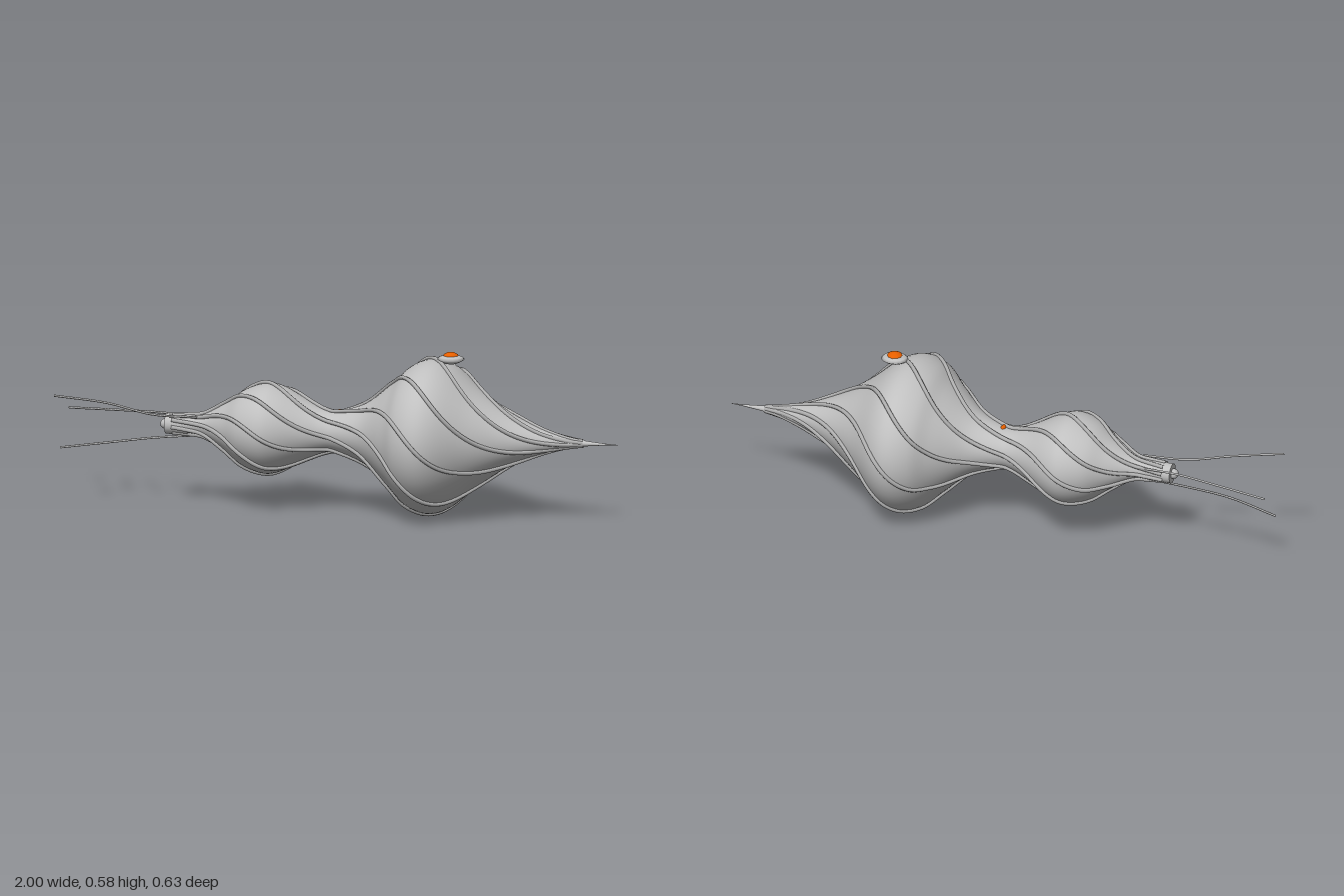
import * as THREE from 'three';

const AXIS_Y = 0.28;   // height of the long axis
const FLAT = 0.88;     // vertical squash of the body
const TWIST = 3.93;    // rib twist, radians per unit of length

export function createModel() {
  const model = new THREE.Group();
  const material = (name, color) => {
    const m = new THREE.MeshStandardMaterial({ color });
    m.name = name;
    return m;
  };
  const grey = material('hull grey', 0xc0c0c0);
  const ribGrey = material('rib grey', 0xb0b0b0);
  const orange = material('lamp orange', 0xff6a00);

  const add = (name, geometry, mat, x = 0, y = 0, z = 0) => {
    const mesh = new THREE.Mesh(geometry, mat);
    mesh.name = name;
    mesh.position.set(x, y, z);
    model.add(mesh);
    return mesh;
  };

  // Body profile: radius, position along x
  const profile = new THREE.SplineCurve([
    [0.034, -0.6], [0.036, -0.54], [0.046, -0.48], [0.1, -0.4], [0.152, -0.335],
    [0.179, -0.26], [0.165, -0.2], [0.112, -0.11], [0.085, -0.05], [0.083, 0],
    [0.122, 0.1], [0.215, 0.2], [0.278, 0.26], [0.306, 0.33], [0.282, 0.4],
    [0.19, 0.5], [0.113, 0.6], [0.06, 0.7], [0.03, 0.79], [0.013, 0.87],
    [0.005, 0.94], [0.001, 1],
  ].map(([r, x]) => new THREE.Vector2(r, x)));

  // Twin-bulbed body
  const bodyGeometry = new THREE.LatheGeometry(profile.getPoints(110), 56);
  bodyGeometry.rotateZ(-Math.PI / 2);
  bodyGeometry.scale(1, FLAT, 1);
  add('body', bodyGeometry, grey, 0, AXIS_Y, 0);

  // Eight ribs spiralling along the body, sinking into it towards the tip
  for (let i = 0; i < 8; i++) {
    const path = [];
    for (let j = 0; j <= 90; j++) {
      const p = profile.getPoint(0.008 + (j / 90) * 0.9);
      const r = p.x + 0.003 - 0.007 * THREE.MathUtils.smoothstep(p.y, 0.6, 0.85);
      const a = TWIST * (p.y - 0.35) + (i * Math.PI) / 4;
      path.push(new THREE.Vector3(p.y, AXIS_Y + FLAT * r * Math.sin(a), -r * Math.cos(a)));
    }
    add('spiralRib', new THREE.TubeGeometry(new THREE.CatmullRomCurve3(path), 130, 0.0075, 7), ribGrey);
  }

  // Nozzle collar with a small end knob
  const collar = new THREE.CylinderGeometry(0.035, 0.035, 0.08, 20);
  collar.rotateZ(Math.PI / 2);
  add('noseCollar', collar, grey, -0.58, AXIS_Y - 0.002, 0);
  add('noseKnob', new THREE.SphereGeometry(0.018, 14, 10), grey, -0.624, AXIS_Y - 0.002, 0);

  // Three trailing feelers
  const feelers = [
    [[-0.5, 0.312, 0.035], [-0.66, 0.317, 0.045], [-0.82, 0.352, 0.056], [-1, 0.375, 0.09]],
    [[-0.5, 0.3, -0.038], [-0.66, 0.306, -0.055], [-0.82, 0.302, -0.083], [-1, 0.296, -0.115]],
    [[-0.5, 0.243, 0], [-0.66, 0.229, 0.012], [-0.82, 0.207, 0.024], [-1, 0.176, 0]],
  ];
  for (const points of feelers) {
    const curve = new THREE.CatmullRomCurve3(points.map((p) => new THREE.Vector3(...p)));
    add('feeler', new THREE.TubeGeometry(curve, 40, 0.004, 6), ribGrey);
  }

  // Lens-shaped lamp above the large bulb
  const lens = new THREE.LatheGeometry([
    [0, -0.017], [0.02, -0.015], [0.036, -0.007], [0.045, 0], [0.038, 0.008], [0.024, 0.013], [0, 0.014],
  ].map(([r, y]) => new THREE.Vector2(r, y)), 16);
  lens.scale(1.06, 1, 0.95);
  add('lampBase', lens, grey, 0.4, 0.555, 0);
  const dome = new THREE.LatheGeometry([
    [0.027, 0], [0.025, 0.006], [0.013, 0.012], [0, 0.015],
  ].map(([r, y]) => new THREE.Vector2(r, y)), 10);
  add('lampDome', dome, orange, 0.4, 0.566, 0);

  // Small bead on the neck
  const bead = new THREE.SphereGeometry(0.011, 8, 6);
  bead.scale(0.9, 0.9, 1.7);
  add('neckBead', bead, orange, 0.002, 0.35, 0.004);

  return model;
}
